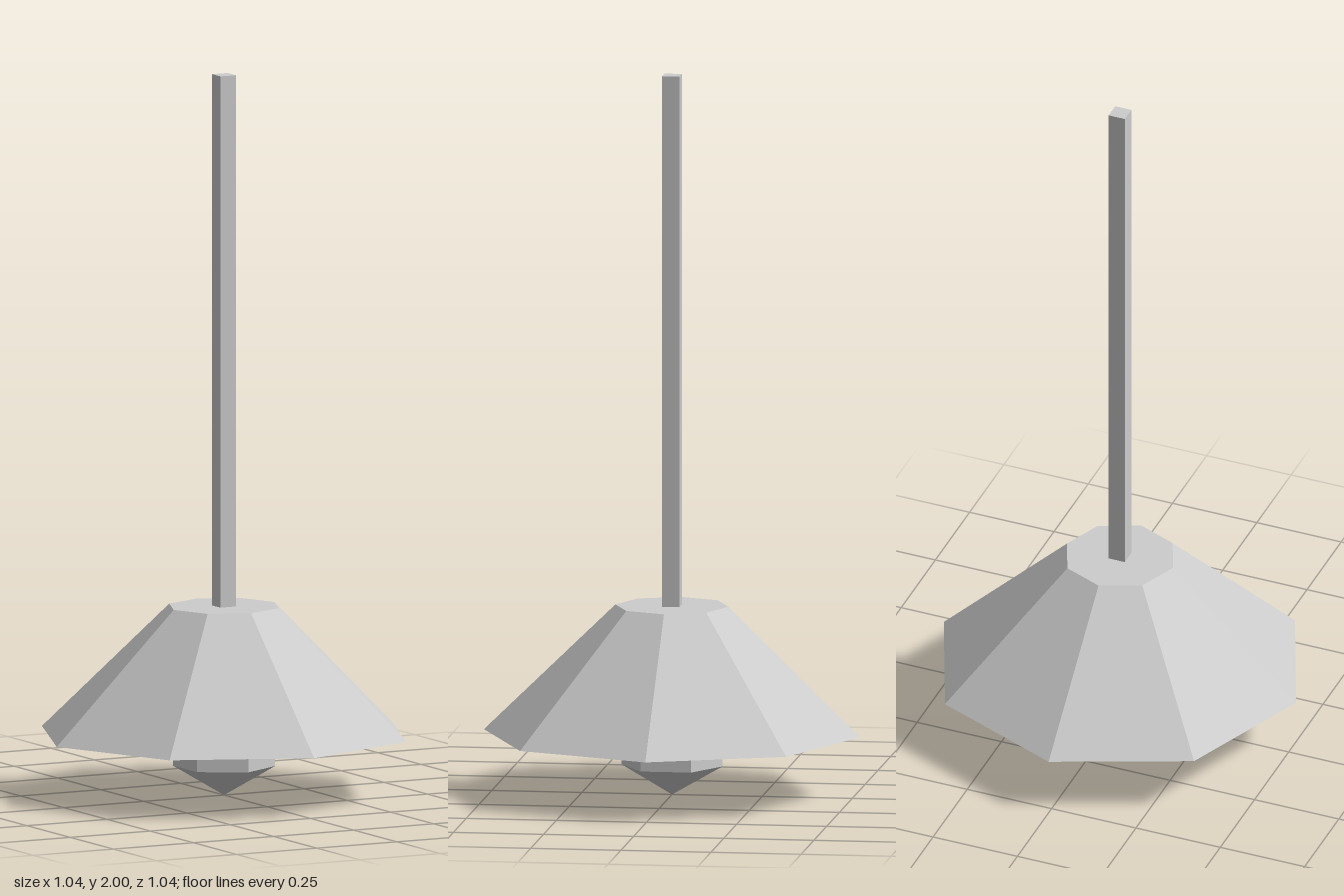
import * as THREE from 'three';

export function createModel() {
  const group = new THREE.Group();
  group.name = 'pendantLamp';
  const lightGrey = new THREE.MeshStandardMaterial({ color: 0xcccccc });
  lightGrey.name = 'lightGrey';

  // Adds one faceted part centred on the vertical axis
  function addPart(name, geometry, y) {
    const flat = geometry.index ? geometry.toNonIndexed() : geometry;
    flat.computeVertexNormals();
    const mesh = new THREE.Mesh(flat, lightGrey);
    mesh.name = name;
    mesh.position.y = y;
    group.add(mesh);
    return mesh;
  }

  const shadeBottom = 0.17, shadeTop = 0.525, bulbRadius = 0.162;

  // Square hanging rod
  const rodLength = 2 - shadeTop;
  addPart('rod', new THREE.BoxGeometry(0.048, rodLength, 0.048), shadeTop + rodLength / 2);

  // Eight-sided closed shade
  addPart('shade', new THREE.CylinderGeometry(0.157, 0.522, shadeTop - shadeBottom, 8),
    (shadeTop + shadeBottom) / 2);

  // Six-sided bulb, its upper part sits inside the shade
  addPart('bulb', new THREE.SphereGeometry(bulbRadius, 6, 3).rotateY(Math.PI / 2), bulbRadius);

  return group;
}
